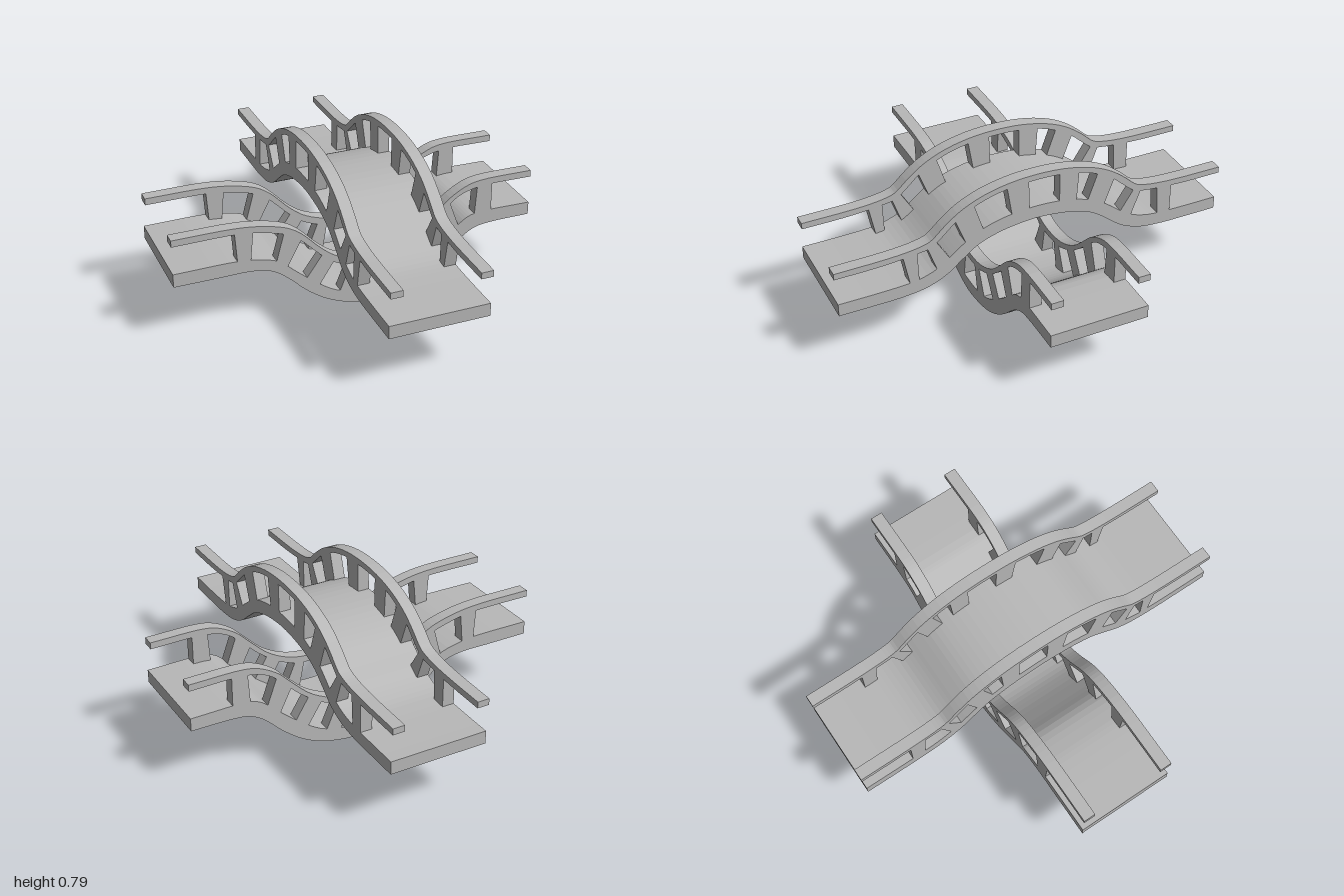
import * as THREE from 'three';

const WIDTH = 0.49, RAIL = 0.06;

// Smooth line through [u, y] points, running from low u to high u
function smooth(points) {
  const curve = new THREE.CatmullRomCurve3(points.map(([u, y]) => new THREE.Vector3(u, y, 0)));
  return curve.getPoints(56).map(p => new THREE.Vector2(p.x, p.y));
}

// Full line from its half, given from the middle outwards
function mirrored(half) {
  return [...half.slice(1).reverse().map(([u, y]) => [-u, y]), ...half];
}

function heightAt(line, u) {
  const i = Math.max(1, line.findIndex(p => p.x >= u));
  const a = line[i - 1], b = line[i];
  return THREE.MathUtils.lerp(a.y, b.y, (u - a.x) / (b.x - a.x));
}

function slab(name, outline, z, depth, material) {
  const geometry = new THREE.ExtrudeGeometry(new THREE.Shape(outline), { depth, bevelEnabled: false });
  const mesh = new THREE.Mesh(geometry, material);
  mesh.name = name;
  mesh.position.z = z;
  return mesh;
}

function band(lower, upper) {
  return [...lower, ...upper.slice().reverse()];
}

// Deck, two handrails and leaning posts; runs along x, starting at depth z0
function createBridge(name, spec, z0, material) {
  const group = new THREE.Group();
  group.name = name;
  const [deckLow, deckTop, railLow, railTop] =
    [spec.deckLow, spec.deckTop, spec.railLow, spec.railTop].map(smooth);
  group.add(slab('deck', band(deckLow, deckTop), z0, WIDTH, material));
  for (const z of [z0, z0 + WIDTH - RAIL]) {
    group.add(slab('handrail', band(railLow, railTop), z, RAIL, material));
    // Each post: top start, top end, foot start, foot end
    for (const [t0, t1, f0, f1] of spec.posts) {
      const foot = u => new THREE.Vector2(u, heightAt(deckTop, u) - 0.006);
      const head = u => new THREE.Vector2(u, heightAt(railLow, u) + 0.006);
      group.add(slab('railPost', [foot(f0), foot(f1), head(t1), head(t0)], z, RAIL, material));
    }
  }
  return group;
}

const arch = {
  deckLow: mirrored([[0, 0.545], [0.1, 0.538], [0.2, 0.52], [0.3, 0.483], [0.38, 0.425], [0.46, 0.363],
    [0.56, 0.322], [0.68, 0.307], [0.8, 0.305], [0.99, 0.305]]),
  deckTop: mirrored([[0, 0.612], [0.14, 0.602], [0.25, 0.575], [0.33, 0.54], [0.41, 0.483], [0.46, 0.443],
    [0.52, 0.406], [0.6, 0.381], [0.68, 0.373], [0.8, 0.37], [0.99, 0.37]]),
  railLow: mirrored([[0, 0.757], [0.14, 0.749], [0.25, 0.725], [0.32, 0.697], [0.41, 0.642], [0.47, 0.588],
    [0.52, 0.547], [0.55, 0.535], [0.68, 0.52], [0.8, 0.513], [1, 0.512]]),
  railTop: mirrored([[0, 0.787], [0.14, 0.778], [0.275, 0.747], [0.38, 0.7], [0.46, 0.642], [0.53, 0.58],
    [0.56, 0.568], [0.62, 0.556], [0.73, 0.547], [1, 0.544]]),
  posts: [
    [-0.73, -0.65, -0.73, -0.66], [-0.56, -0.52, -0.51, -0.45], [-0.41, -0.32, -0.36, -0.27],
    [-0.22, -0.12, -0.21, -0.12], [0.04, 0.15, 0.035, 0.125], [0.315, 0.41, 0.27, 0.36],
    [0.505, 0.55, 0.44, 0.505], [0.6, 0.67, 0.595, 0.64],
  ],
};

const dip = {
  deckLow: [[-0.915, 0.302], [-0.7, 0.302], [-0.53, 0.301], [-0.435, 0.278], [-0.36, 0.225], [-0.265, 0.135],
    [-0.165, 0.065], [-0.04, 0.015], [0.06, 0.001], [0.23, 0.027], [0.35, 0.08], [0.45, 0.155],
    [0.55, 0.25], [0.62, 0.29], [0.695, 0.302], [0.915, 0.304]],
  deckTop: [[-0.915, 0.37], [-0.61, 0.37], [-0.525, 0.36], [-0.41, 0.328], [-0.31, 0.245], [-0.2, 0.155],
    [-0.115, 0.102], [-0.02, 0.075], [0.06, 0.07], [0.155, 0.077], [0.253, 0.107], [0.35, 0.17],
    [0.465, 0.265], [0.523, 0.318], [0.57, 0.353], [0.625, 0.37], [0.915, 0.37]],
  railLow: [[-0.915, 0.513], [-0.61, 0.513], [-0.52, 0.503], [-0.375, 0.465], [-0.31, 0.43], [-0.253, 0.375],
    [-0.18, 0.303], [-0.125, 0.26], [-0.03, 0.221], [0.06, 0.21], [0.165, 0.222], [0.248, 0.255],
    [0.365, 0.337], [0.45, 0.42], [0.523, 0.48], [0.63, 0.512], [0.915, 0.513]],
  railTop: [[-0.915, 0.547], [-0.61, 0.545], [-0.485, 0.53], [-0.36, 0.495], [-0.29, 0.45], [-0.19, 0.35],
    [-0.115, 0.293], [-0.017, 0.255], [0.06, 0.245], [0.18, 0.259], [0.3, 0.315], [0.4, 0.405],
    [0.475, 0.478], [0.57, 0.531], [0.645, 0.547], [0.915, 0.547]],
  posts: [
    [-0.615, -0.525, -0.605, -0.54], [-0.375, -0.29, -0.415, -0.36], [-0.185, -0.125, -0.265, -0.2],
    [-0.04, 0.01, -0.095, -0.015], [0.11, 0.16, 0.14, 0.22], [0.245, 0.315, 0.32, 0.385],
    [0.405, 0.48, 0.465, 0.53], [0.625, 0.705, 0.615, 0.705],
  ],
};

export function createModel() {
  const model = new THREE.Group();
  model.name = 'crossingBridges';
  const stone = new THREE.MeshStandardMaterial({ color: 0xb8b8b8 });
  stone.name = 'plain grey';

  // Upper bridge arches over, front to back
  const upper = createBridge('archedBridge', arch, -0.31, stone);
  upper.rotation.y = -Math.PI / 2;
  // Lower bridge dips under, side to side
  const lower = createBridge('dippedBridge', dip, -0.26, stone);

  model.add(upper, lower);
  return model;
}
